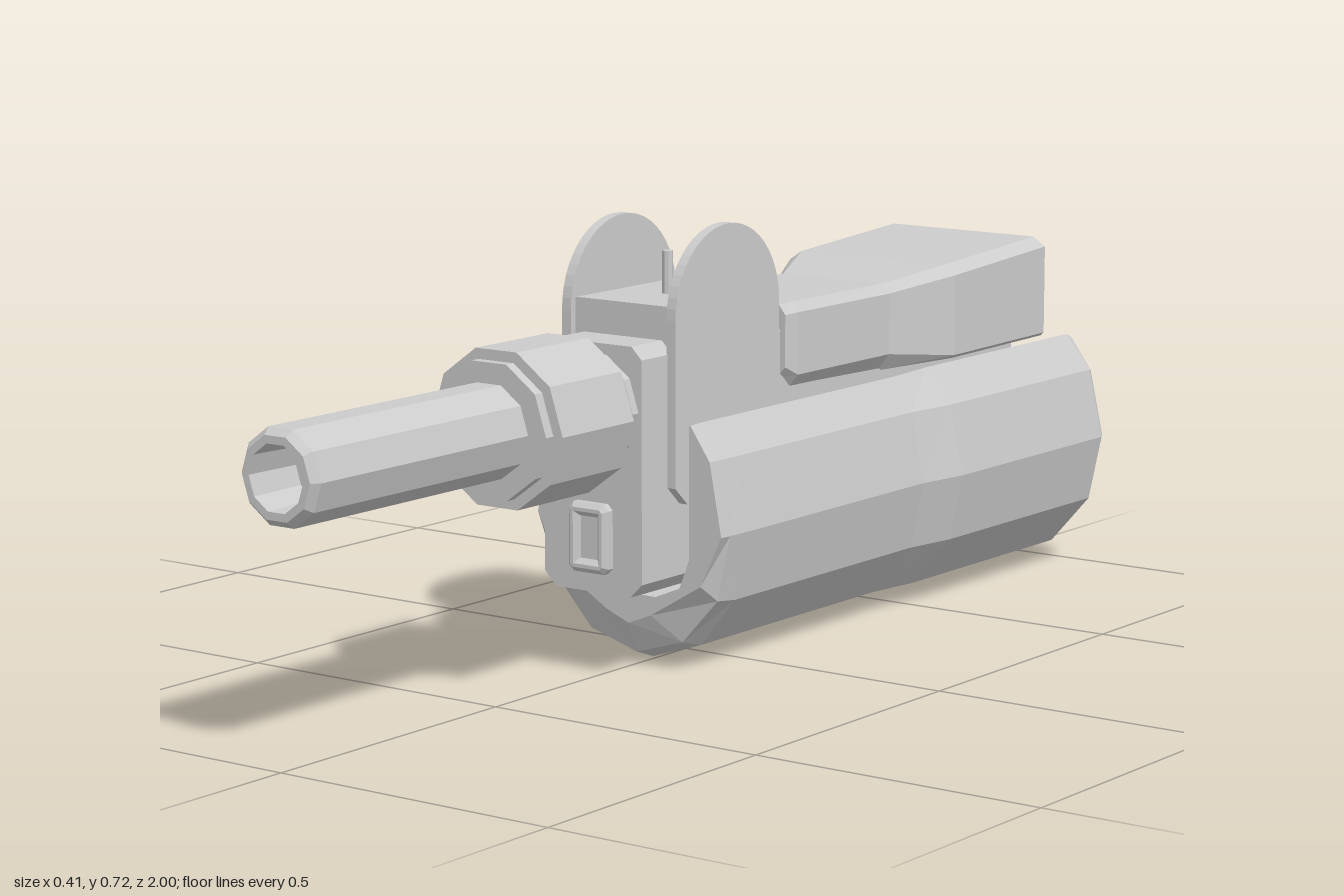
import * as THREE from 'three';

const mat = new THREE.MeshStandardMaterial({ color: 0xcccccc, flatShading: true });

function part(group, name, geometry) {
  const mesh = new THREE.Mesh(geometry, mat);
  mesh.name = name;
  group.add(mesh);
  return mesh;
}

// Mirror a half outline (from +x tip to the centre line) into a left-to-right run
function mirrorRun(half) {
  const right = half.slice().reverse();
  const left = half.filter(([x]) => x > 0).map(([x, y]) => [-x, y]);
  return [...left, ...right];
}

// Join symmetric, counter-clockwise sections, listed from front to back, and cap both ends
function loft(sections) {
  const n = sections[0].pts.length;
  const pos = [], idx = [];
  for (const { z, pts } of sections) for (const [x, y] of pts) pos.push(x, y, z);
  const quad = (a, b, c, d) => idx.push(a, b, c, a, c, d);
  for (let k = 0; k < sections.length - 1; k++) {
    for (let i = 0; i < n; i++) {
      const j = (i + 1) % n, f = k * n, b = f + n;
      quad(f + i, b + i, b + j, f + j);
    }
  }
  const last = (sections.length - 1) * n;
  for (let i = 0; i < n / 2 - 1; i++) {
    const c = [i, i + 1, n - 2 - i, n - 1 - i];
    quad(...c);
    quad(...c.map((v) => v + last).reverse());
  }
  const g = new THREE.BufferGeometry();
  g.setAttribute('position', new THREE.Float32BufferAttribute(pos, 3));
  g.setIndex(idx);
  const flat = g.toNonIndexed();
  flat.computeVertexNormals();
  return flat;
}

// Ten-sided turned part along z; profile pairs are [radius, z] from back to front
function turned(profile, y) {
  const pts = profile.map(([r, z]) => new THREE.Vector2(r, z));
  return new THREE.LatheGeometry(pts, 10, Math.PI / 2).rotateX(Math.PI / 2).translate(0, y, 0);
}

// Rectangle with cut corners: separate cuts for bottom and top
function cutRect(w, y0, y1, cb, ct) {
  return new THREE.Shape([
    [-w, y0 + cb], [-w + cb, y0], [w - cb, y0], [w, y0 + cb],
    [w, y1 - ct], [w - ct, y1], [-w + ct, y1], [-w, y1 - ct],
  ].map(([x, y]) => new THREE.Vector2(x, y)));
}

function prism(shape, z0, z1) {
  return new THREE.ExtrudeGeometry(shape, { depth: z1 - z0, bevelEnabled: false, curveSegments: 12 })
    .translate(0, 0, z0);
}

export function createModel() {
  const model = new THREE.Group();
  model.name = 'foreEndAssembly';

  // Open-topped trough shell, wider toward the back
  const inner = mirrorRun([[0.122, 0.408], [0.122, 0.33], [0.122, 0.19], [0.103, 0.142], [0.055, 0.122], [0, 0.122]]).reverse();
  const front = [[0.127, 0.412], [0.166, 0.355], [0.19, 0.235], [0.165, 0.12], [0.097, 0.036], [0, 0.004]];
  const wide = [[0.127, 0.415], [0.178, 0.355], [0.205, 0.235], [0.18, 0.12], [0.103, 0.033], [0, 0]];
  const shell = [
    [0.157, [[0.125, 0.41], [0.163, 0.355], [0.186, 0.235], [0.145, 0.15], [0.045, 0.09], [0, 0.072]]],
    [0.135, [[0.127, 0.412], [0.165, 0.355], [0.188, 0.235], [0.163, 0.125], [0.093, 0.048], [0, 0.02]]],
    [0.09, front],
    [-0.42, front],
    [-0.52, wide],
    [-0.98, wide],
    [-1, [[0.125, 0.408], [0.168, 0.35], [0.194, 0.235], [0.17, 0.126], [0.098, 0.043], [0, 0.012]]],
  ];
  part(model, 'handguardShell', loft(shell.map(([z, half]) => ({ z, pts: [...mirrorRun(half), ...inner] }))));

  // Central body running through the shell, and the taller saddle between the ears
  part(model, 'body', prism(cutRect(0.098, 0.14, 0.545, 0.023, 0.02), -0.84, 0.25));
  part(model, 'saddle', prism(cutRect(0.097, 0.3, 0.6, 0.01, 0.003), -0.115, 0.17));

  // Round-topped ears either side of the sight post
  const ear = new THREE.Shape();
  ear.moveTo(0.18, 0.58);
  ear.absarc(0.04, 0.58, 0.142, 0, Math.PI, false);
  ear.lineTo(-0.102, 0.3);
  ear.lineTo(-0.08, 0.28);
  ear.lineTo(0.15, 0.28);
  ear.lineTo(0.182, 0.31);
  for (const side of [1, -1]) {
    const g = prism(ear, -0.009, 0.009).rotateY(-Math.PI / 2);
    part(model, side > 0 ? 'leftEar' : 'rightEar', g).position.x = side * 0.105;
  }
  part(model, 'sightPost', new THREE.CylinderGeometry(0.009, 0.009, 0.08, 8)).position.set(0, 0.63, 0.05);

  // Top cover that flares into a wide hood
  const cover = (z, wBottom, wSide, wTop, y0, ySide, y1) => ({
    z,
    pts: [[-wTop, y1], [-wSide, y1 - 0.016], [-wSide, ySide], [-wBottom, y0],
      [wBottom, y0], [wSide, ySide], [wSide, y1 - 0.016], [wTop, y1]],
  });
  part(model, 'topCover', loft([
    cover(-0.128, 0.09, 0.108, 0.095, 0.445, 0.465, 0.568),
    cover(-0.155, 0.09, 0.115, 0.1, 0.42, 0.45, 0.57),
    cover(-0.42, 0.095, 0.118, 0.102, 0.42, 0.45, 0.57),
    cover(-0.54, 0.165, 0.172, 0.148, 0.432, 0.438, 0.592),
    cover(-0.83, 0.165, 0.172, 0.148, 0.435, 0.441, 0.61),
  ]));

  // Barrel with open bore
  part(model, 'barrel', turned([
    [0.077, 0.45], [0.077, 0.988], [0.066, 1], [0.053, 1], [0.05, 0.9], [0, 0.9],
  ], 0.44));

  // Stepped collar and nut joining barrel and body
  part(model, 'barrelNut', turned([
    [0.092, 0.23], [0.092, 0.265], [0.075, 0.27], [0.075, 0.29], [0.11, 0.295], [0.11, 0.312],
    [0.13, 0.312], [0.13, 0.492], [0.112, 0.492], [0.112, 0.51], [0, 0.51],
  ], 0.44));

  // Framed latch on the front face
  const frame = cutRect(0.032, 0.181, 0.279, 0.005, 0.005);
  frame.holes.push(new THREE.Path([[-0.026, 0.187], [-0.026, 0.273], [0.026, 0.273], [0.026, 0.187]]
    .map(([x, y]) => new THREE.Vector2(x, y))));
  part(model, 'latchFrame', new THREE.ExtrudeGeometry(frame, {
    depth: 0.012, bevelThickness: 0.008, bevelSize: 0.008, bevelSegments: 1,
  }).translate(0, 0, 0.249));
  part(model, 'latchInset', new THREE.BoxGeometry(0.045, 0.085, 0.012)).position.set(0, 0.23, 0.252);

  // Recessed end bolt at the back
  part(model, 'endBolt', turned([
    [0, -0.846], [0.042, -0.846], [0.045, -0.86], [0.055, -0.86], [0.065, -0.852], [0.065, -0.83],
  ], 0.45));

  return model;
}
